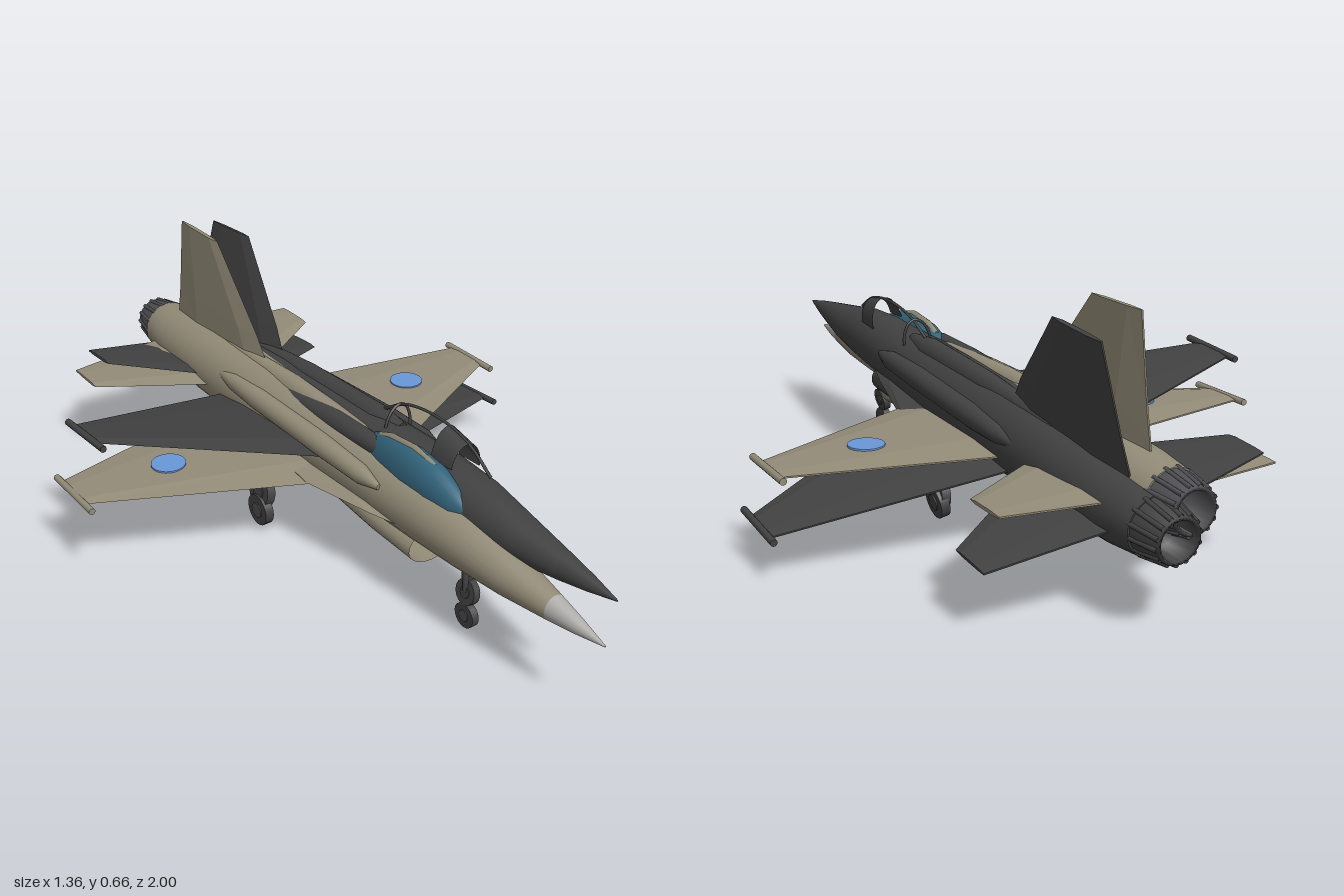
import * as THREE from 'three';

const mat = (name, color, double) => {
  const m = new THREE.MeshStandardMaterial({ color });
  m.name = name;
  if (double) m.side = THREE.DoubleSide;
  return m;
};

// Skin over matching rings of points, capped at both ends on request
function skin(rings, { caps = true, flat = false } = {}) {
  const n = rings[0].length, pos = [], idx = [];
  rings.forEach(r => r.forEach(p => pos.push(...p)));
  for (let i = 0; i < rings.length - 1; i++)
    for (let j = 0; j < n; j++) {
      const a = i * n + j, b = i * n + (j + 1) % n;
      idx.push(a, b, a + n, b, b + n, a + n);
    }
  if (caps) [rings[0], rings[rings.length - 1]].forEach((r, k) => {
    const o = pos.length / 3;
    r.forEach(p => pos.push(...p));
    for (let j = 1; j < n - 1; j++) idx.push(o, ...(k ? [o + j, o + j + 1] : [o + j + 1, o + j]));
  });
  // Signed volume tells whether the faces point outwards
  let vol = 0;
  const v = i => new THREE.Vector3().fromArray(pos, i * 3);
  for (let i = 0; i < idx.length; i += 3) vol += v(idx[i]).dot(v(idx[i + 1]).cross(v(idx[i + 2])));
  if (vol < 0) idx.reverse();
  let g = new THREE.BufferGeometry();
  g.setAttribute('position', new THREE.Float32BufferAttribute(pos, 3));
  g.setIndex(idx);
  if (flat) g = g.toNonIndexed();
  g.computeVertexNormals();
  return g;
}

// Elliptical body along z from [z, centreY, halfWidth, halfHeight] sections
const body = (sections, x = 0, caps = true) => skin(sections.map(([z, y, w, h]) =>
  Array.from({ length: 24 }, (_, i) => {
    const a = i / 24 * Math.PI * 2;
    return [x + Math.cos(a) * w, y + Math.sin(a) * h, z];
  })), { caps });

// Thin tapered surface from [span, leadingZ, trailingZ, halfThickness] stations
const foil = (stations, place) => skin(stations.map(([s, le, te, t]) =>
  [[0, 0], [0.2, t], [0.75, t], [1, 0.002], [1, -0.002], [0.75, -t], [0.2, -t]]
    .map(([f, y]) => place(s, y, le + (te - le) * f))), { flat: true });

const tube = (points, r, seg = 12) => new THREE.TubeGeometry(
  new THREE.CatmullRomCurve3(points.map(p => new THREE.Vector3(...p))), seg, r, 8);

function jet(name, m, openCanopy) {
  const g = new THREE.Group();
  g.name = name;
  const add = (part, geo, material, x = 0, y = 0, z = 0) => {
    const mesh = new THREE.Mesh(geo, material);
    mesh.name = part;
    mesh.position.set(x, y, z);
    g.add(mesh);
    return mesh;
  };

  // Fuselage, nose cone and spine
  add('noseCone', body([[1, 0.005, 0.002, 0.002], [0.92, 0.008, 0.018, 0.02], [0.84, 0.011, 0.032, 0.034]]), m.nose);
  add('fuselage', body([[0.84, 0.011, 0.032, 0.034], [0.7, 0.018, 0.055, 0.055], [0.55, 0.03, 0.073, 0.075],
    [0.4, 0.035, 0.083, 0.085], [0.2, 0.035, 0.09, 0.09], [0, 0.035, 0.098, 0.095], [-0.3, 0.033, 0.1, 0.105],
    [-0.6, 0.03, 0.098, 0.1], [-0.8, 0.03, 0.09, 0.085], [-0.9, 0.03, 0.075, 0.073]]), m.body);
  add('spine', body([[0.22, 0.1, 0.02, 0.03], [0.12, 0.105, 0.035, 0.04], [-0.2, 0.11, 0.034, 0.042],
    [-0.5, 0.1, 0.025, 0.04], [-0.78, 0.09, 0.01, 0.025]]), m.body);

  // Chin air intake with a dark duct
  add('intake', body([[0.41, -0.055, 0.074, 0.05], [0.25, -0.045, 0.08, 0.052], [0.05, -0.02, 0.086, 0.052],
    [-0.25, 0, 0.09, 0.075], [-0.6, 0.01, 0.08, 0.07]], 0, false), m.skin);
  add('intakeDuct', body([[0.3, -0.048, 0.07, 0.045], [0.296, -0.048, 0.07, 0.045]]), m.duct);

  // Exhaust nozzle with petals
  const nozzle = [[0.073, 0], [0.068, 0.04], [0.055, 0.1], [0.047, 0.1], [0.045, 0.03], [0.001, 0.03]];
  add('nozzle', new THREE.LatheGeometry(nozzle.map(p => new THREE.Vector2(...p)), 20), m.metal, 0, 0.03, -0.88)
    .rotation.x = -Math.PI / 2;
  for (let i = 0; i < 14; i++) {
    const a = i / 14 * Math.PI * 2, c = Math.cos(a), s = Math.sin(a);
    add('nozzlePetal', tube([[c * 0.071, 0.03 + s * 0.071, -0.89], [c * 0.055, 0.03 + s * 0.055, -0.978]], 0.006, 1), m.metal);
  }

  // Tail fin
  add('tailFin', foil([[0.07, -0.29, -0.82, 0.014], [0.13, -0.33, -0.815, 0.013], [0.2, -0.38, -0.8, 0.012],
    [0.415, -0.573, -0.768, 0.006]], (s, t, z) => [t, s, z]), m.body);

  for (const s of [-1, 1]) {
    const side = s > 0 ? 'left' : 'right';
    // Wing, strake, tip rail and tailplane
    add(side + 'Wing', foil([[0.05, 0.115, -0.43, 0.016], [0.13, 0.085, -0.415, 0.014], [0.655, -0.172, -0.302, 0.005]],
      (x, t, z) => [s * x, t, z]), m.body);
    add(side + 'Strake', foil([[0.05, 0.45, -0.1, 0.012], [0.1, 0.28, -0.1, 0.01], [0.147, 0.07, -0.1, 0.006]],
      (x, t, z) => [s * x, t + 0.002, z]), m.body);
    add(side + 'TipRail', new THREE.CylinderGeometry(0.009, 0.009, 0.2, 10), m.body, s * 0.656, 0, -0.23)
      .rotation.x = Math.PI / 2;
    add(side + 'Tailplane', foil([[0.06, -0.48, -0.84, 0.011], [0.1, -0.505, -0.835, 0.01], [0.365, -0.675, -0.8, 0.004]],
      (x, t, z) => [s * x, 0.022 + t, z]), m.body);

    // Shoulder fairing
    add(side + 'ShoulderFairing', body([[0.29, 0.075, 0.006, 0.008], [0.22, 0.077, 0.024, 0.026], [0.05, 0.08, 0.029, 0.031],
      [-0.25, 0.08, 0.029, 0.031], [-0.38, 0.078, 0.022, 0.024], [-0.45, 0.076, 0.008, 0.01]], s * 0.079), m.body);

    // Wing roundel
    if (m.roundel) add(side + 'Roundel', new THREE.CylinderGeometry(0.046, 0.046, 0.005, 28), m.roundel, s * 0.395, 0.011, -0.205);

    // Main landing gear
    add(side + 'MainLeg', tube([[s * 0.07, 0.01, -0.13], [s * 0.105, -0.05, -0.13], [s * 0.128, -0.1, -0.13], [s * 0.15, -0.18, -0.13]], 0.009), m.body);
    add(side + 'MainStrut', tube([[s * 0.13, -0.07, -0.14], [s * 0.15, -0.12, -0.14], [s * 0.158, -0.175, -0.13]], 0.013), m.tyre);
    add(side + 'MainWheel', new THREE.CylinderGeometry(0.045, 0.045, 0.025, 20), m.tyre, s * 0.161, -0.18, -0.13)
      .rotation.z = Math.PI / 2;
    add(side + 'MainHub', new THREE.CylinderGeometry(0.022, 0.022, 0.031, 14), m.metal, s * 0.161, -0.18, -0.13)
      .rotation.z = Math.PI / 2;
  }

  // Nose landing gear
  add('noseLeg', tube([[0, -0.02, 0.53], [0, -0.1, 0.54], [0, -0.185, 0.55]], 0.009), m.tyre);
  add('noseWheel', new THREE.CylinderGeometry(0.034, 0.034, 0.02, 20), m.tyre, 0, -0.189, 0.55).rotation.z = Math.PI / 2;
  add('noseHub', new THREE.CylinderGeometry(0.016, 0.016, 0.025, 14), m.metal, 0, -0.189, 0.55).rotation.z = Math.PI / 2;

  if (openCanopy) {
    // Bare canopy frame: centre rib, broad front hoop and rear hoop
    add('canopyRib', tube([[0, 0.115, 0.56], [0, 0.165, 0.47], [0, 0.19, 0.35], [0, 0.18, 0.22], [0, 0.135, 0.13]], 0.004, 24), m.body);
    const hoop = (z, w, h) => new THREE.EllipseCurve(0, 0, w, h, 0, Math.PI).getPoints(16).map(p => [p.x, 0.105 + p.y, z]);
    const front = hoop(0.47, 0.045, 0.062).map((p, i) => [p, hoop(0.39, 0.046, 0.082)[i]]);
    const band = new THREE.BufferGeometry(), idx = [];
    band.setAttribute('position', new THREE.Float32BufferAttribute(front.flat(2), 3));
    for (let i = 0; i < 16; i++) idx.push(2 * i, 2 * i + 1, 2 * i + 2, 2 * i + 1, 2 * i + 3, 2 * i + 2);
    band.setIndex(idx);
    band.computeVertexNormals();
    add('windscreenHoop', band, m.skin);
    add('rearHoop', tube(hoop(0.2, 0.04, 0.07), 0.004, 20), m.body);
  } else {
    // Glass canopy with a centre band
    const glass = [[0.55, 0.1, 0.012, 0.012], [0.5, 0.1, 0.034, 0.045], [0.42, 0.1, 0.045, 0.072], [0.33, 0.1, 0.048, 0.083],
      [0.24, 0.1, 0.044, 0.073], [0.17, 0.1, 0.034, 0.05], [0.13, 0.1, 0.02, 0.02]];
    add('canopy', body(glass), m.glass);
    add('canopyBand', body([[0.41, 0.1, 0.02, 0.074], [0.33, 0.1, 0.021, 0.09], [0.24, 0.1, 0.021, 0.08], [0.19, 0.1, 0.02, 0.06]]), m.body);
  }
  return g;
}

export function createModel() {
  const tan = mat('tan', 0x938c78), tanSkin = mat('tanOpen', 0x938c78, true);
  const dark = mat('charcoal', 0x424242), darkSkin = mat('charcoalOpen', 0x424242, true);
  const metal = mat('nozzleMetal', 0x505054, true), nose = mat('noseGrey', 0xb0afac);
  const glass = mat('canopyBlue', 0x33647c), roundel = mat('roundelBlue', 0x6a98d8);

  const model = new THREE.Group();
  model.name = 'jetPair';

  // Level tan jet
  const level = jet('tanJet', { body: tan, skin: tanSkin, nose, metal, duct: dark, tyre: dark, glass, roundel }, false);
  level.position.set(-0.015, 0.225, 0);

  // Dark jet, banked and pitched up
  const banked = jet('darkJet', { body: dark, skin: darkSkin, nose: dark, metal: darkSkin, duct: dark, tyre: dark }, true);
  banked.position.set(0.03, 0.245, -0.018);
  banked.rotation.set(-0.07, 0, -0.21);

  model.add(level, banked);
  return model;
}
